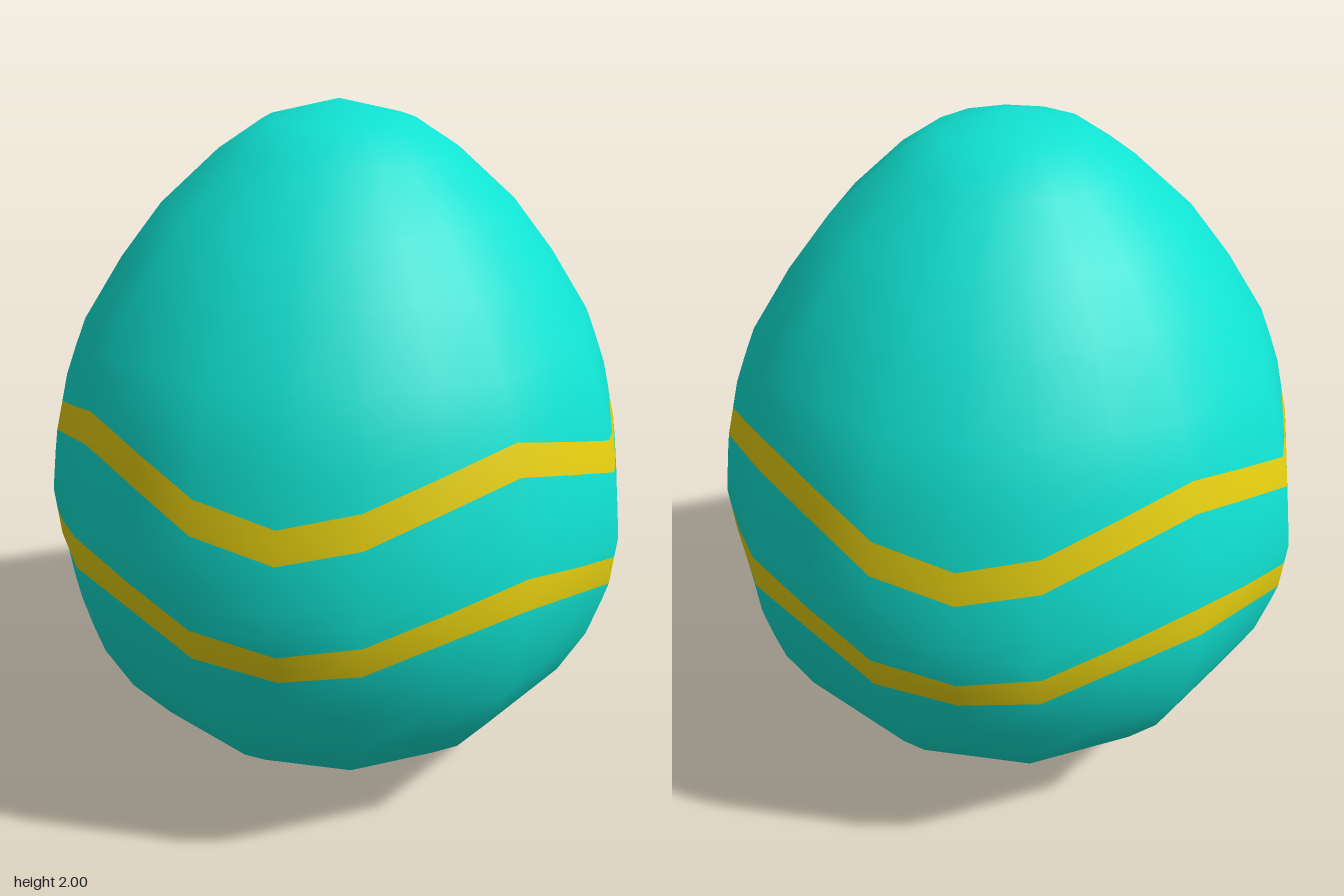
import * as THREE from 'three';

const SIDES = 12, COLS = 24;

// Egg profile, bottom to top: [radius, height]
const PROFILE = [
  [0, 0], [0.228, 0.018], [0.4, 0.08], [0.497, 0.14], [0.614, 0.237], [0.727, 0.375],
  [0.804, 0.52], [0.857, 0.69], [0.872, 0.85], [0.848, 1.03], [0.797, 1.235],
  [0.735, 1.388], [0.62, 1.567], [0.5, 1.72], [0.335, 1.868], [0.212, 1.948], [0, 2],
];

// Smooth outward normal (radial, vertical) at each profile point
const NORMALS = PROFILE.map((p, i) => {
  if (i === 0) return [0, -1];
  if (i === PROFILE.length - 1) return [0, 1];
  const a = PROFILE[i - 1], b = PROFILE[i + 1];
  const n = new THREE.Vector2(b[1] - a[1], a[0] - b[0]).normalize();
  return [n.x, n.y];
});

// Point and normal of the twelve-sided egg at a column and height
function sample(col, y) {
  let i = 0;
  while (i < PROFILE.length - 2 && y > PROFILE[i + 1][1]) i++;
  const t = (y - PROFILE[i][1]) / (PROFILE[i + 1][1] - PROFILE[i][1]);
  const mix = (list, k) => THREE.MathUtils.lerp(list[i][k], list[i + 1][k], t);
  const angle = (col / COLS) * Math.PI * 2;
  const flat = col % 2 ? Math.cos(Math.PI / SIDES) : 1; // odd columns lie mid-facet
  const r = mix(PROFILE, 0) * flat, nr = mix(NORMALS, 0);
  const s = Math.sin(angle), c = Math.cos(angle);
  const normal = new THREE.Vector3(s * nr, mix(NORMALS, 1), c * nr).normalize();
  return { position: [s * r, y, c * r], normal: normal.toArray() };
}

// Skin through rows; each row gives a height for every column
function skin(name, rows, material) {
  const positions = [], normals = [], index = [];
  const stride = COLS + 1;
  rows.forEach((row, j) => {
    for (let i = 0; i <= COLS; i++) {
      const v = sample(i, row(i));
      positions.push(...v.position);
      normals.push(...v.normal);
      if (j === 0 || i === COLS) continue;
      const a = (j - 1) * stride + i, b = a + 1, d = a + stride, c = d + 1;
      if (rows[j - 1](i) > 0) index.push(a, b, c);
      if (row(i) < 2) index.push(a, c, d);
      else index.push(a, b, d);
      if (rows[j - 1](i) <= 0) index.push(b, c, d);
    }
  });
  // Drop zero-area triangles at the poles
  const kept = [];
  const P = (k) => new THREE.Vector3().fromArray(positions, k * 3);
  for (let k = 0; k < index.length; k += 3) {
    const tri = new THREE.Triangle(P(index[k]), P(index[k + 1]), P(index[k + 2]));
    if (tri.getArea() > 1e-7) kept.push(index[k], index[k + 1], index[k + 2]);
  }
  const geometry = new THREE.BufferGeometry();
  geometry.setAttribute('position', new THREE.Float32BufferAttribute(positions, 3));
  geometry.setAttribute('normal', new THREE.Float32BufferAttribute(normals, 3));
  geometry.setIndex(kept);
  const mesh = new THREE.Mesh(geometry, material);
  mesh.name = name;
  return mesh;
}

// Zigzag edge: peaks at front, back and sides, troughs between
const zigzag = (peak, trough) => (col) => {
  const k = col % 6;
  return THREE.MathUtils.lerp(peak, trough, Math.min(k, 6 - k) / 3);
};

// Rows from one edge to another, both included
const between = (low, high, steps) => Array.from({ length: steps + 1 }, (_, k) =>
  (col) => THREE.MathUtils.lerp(low(col), high(col), k / steps));

export function createModel() {
  const shell = new THREE.MeshStandardMaterial({ color: 0x10e2d2 });
  shell.name = 'turquoise';
  const gold = new THREE.MeshStandardMaterial({ color: 0xe6d010 });
  gold.name = 'golden yellow';

  const level = (y) => () => y;
  const heights = PROFILE.map((p) => p[1]);
  const lowerBottom = zigzag(0.808, 0.643), lowerTop = zigzag(0.9, 0.727);
  const upperBottom = zigzag(1.163, 0.983), upperTop = zigzag(1.25, 1.075);

  const bottomRows = heights.filter((y) => y < 0.52).map(level);
  const topRows = heights.filter((y) => y > 1.388).map(level);

  const egg = new THREE.Group();
  egg.name = 'decoratedEgg';
  egg.add(
    skin('shellBottom', [...bottomRows, ...between(level(0.52), lowerBottom, 3)], shell),
    skin('lowerStripe', between(lowerBottom, lowerTop, 2), gold),
    skin('shellMiddle', between(lowerTop, upperBottom, 4), shell),
    skin('upperStripe', between(upperBottom, upperTop, 2), gold),
    skin('shellTop', [...between(upperTop, level(1.388), 3), ...topRows], shell),
  );
  return egg;
}
